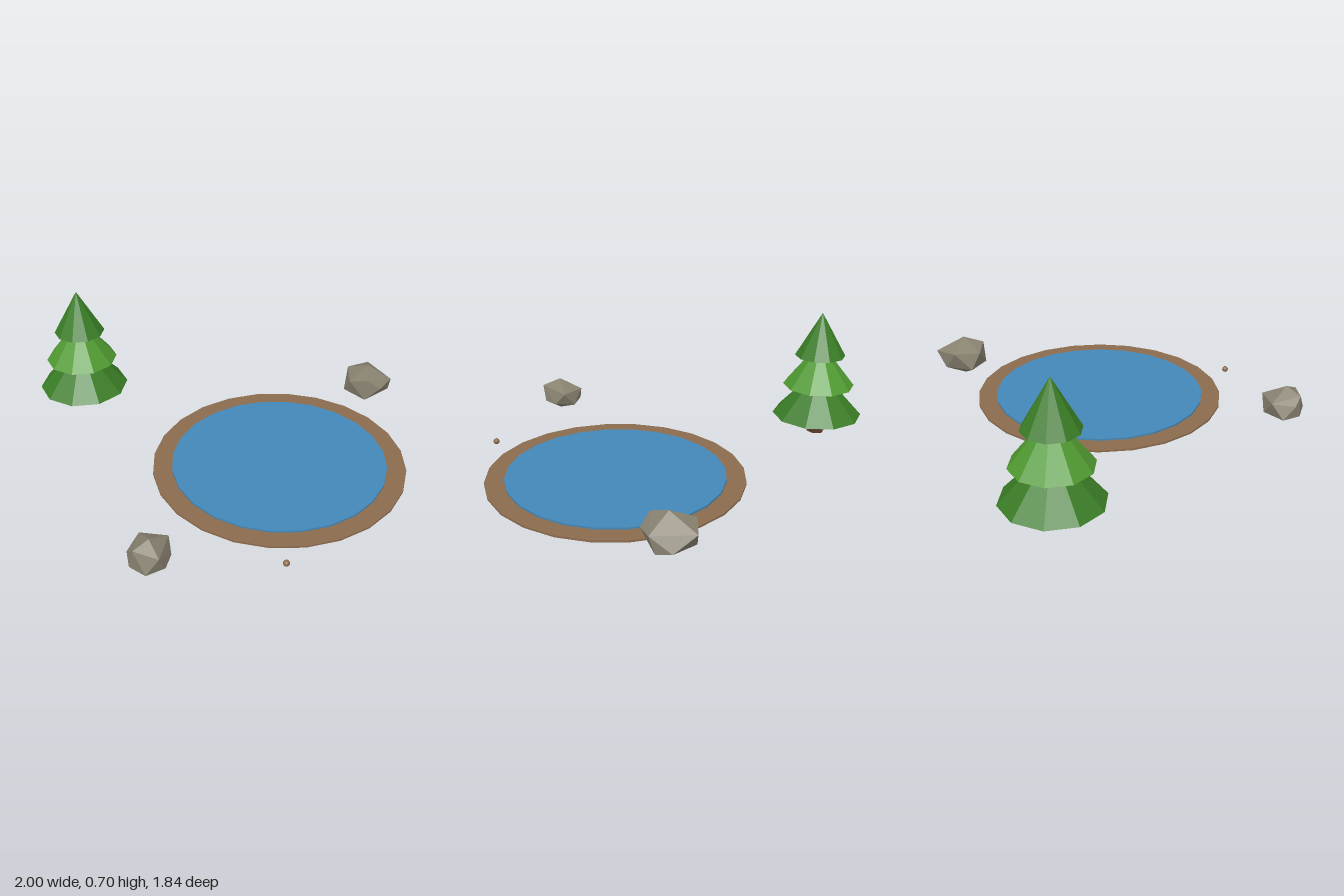
import * as THREE from 'three';
import { ConvexGeometry } from 'three/addons/geometries/ConvexGeometry.js';

const paint = (name, color) => {
  const m = new THREE.MeshStandardMaterial({ color, flatShading: true });
  m.name = name;
  return m;
};

export function createModel() {
  const model = new THREE.Group();
  model.name = 'pondScene';

  const darkGreen = paint('dark green', 0x3a7d26);
  const lightGreen = paint('light green', 0x509a31);
  const bark = paint('bark brown', 0x5a3b29);
  const earth = paint('earth brown', 0x8b6b4e);
  const water = paint('water blue', 0x4488b8);
  const stone = paint('stone grey', 0x87816f);

  const add = (parent, name, geometry, material, x = 0, y = 0, z = 0) => {
    const mesh = new THREE.Mesh(geometry, material);
    mesh.name = name;
    mesh.position.set(x, y, z);
    parent.add(mesh);
    return mesh;
  };

  // Pond: an earth disc with a smaller water disc on top
  const pond = new THREE.Group();
  pond.name = 'pond';
  pond.position.set(0.248, 0, 0.108);
  add(pond, 'shore', new THREE.CylinderGeometry(0.672, 0.672, 0.01, 24), earth, 0, 0.01, 0);
  add(pond, 'waterSurface', new THREE.CylinderGeometry(0.571, 0.571, 0.01, 24), water, 0, 0.02, 0);
  model.add(pond);

  // Conifer: six-sided trunk and three ten-sided cones, corners along x
  const tree = new THREE.Group();
  tree.name = 'tree';
  tree.position.set(-0.752, 0, -0.692);
  tree.rotation.y = Math.PI / 2;
  add(tree, 'trunk', new THREE.CylinderGeometry(0.05, 0.05, 0.14, 6), bark, 0, 0.07, 0);
  const tiers = [
    ['lowerBranches', 0.248, 0.107, 0.27, darkGreen],
    ['middleBranches', 0.197, 0.283, 0.25, lightGreen],
    ['upperBranches', 0.139, 0.456, 0.244, darkGreen],
  ];
  for (const [name, radius, base, height, material] of tiers) {
    add(tree, name, new THREE.ConeGeometry(radius, height, 10), material, 0, base + height / 2, 0);
  }
  model.add(tree);

  // Boulders: convex hulls of a few corner points
  const boulder = (name, points) =>
    add(model, name, new ConvexGeometry(points.map((p) => new THREE.Vector3(...p))), stone);
  boulder('largeBoulder', [
    [0.875, 0.235, -0.436], [0.875, 0.012, -0.436],
    [0.74, 0.078, -0.448], [0.78, 0.176, -0.533], [0.85, 0.08, -0.56],
    [0.915, 0.165, -0.587], [0.99, 0.09, -0.5], [0.997, 0.16, -0.39],
    [0.995, 0.075, -0.42], [0.915, 0.145, -0.315], [0.83, 0.075, -0.322],
    [0.84, 0.195, -0.33], [0.755, 0.165, -0.39],
  ]);
  boulder('smallBoulder', [
    [-0.497, 0.19, 0.817], [-0.497, 0.006, 0.817],
    [-0.6, 0.115, 0.8], [-0.59, 0.05, 0.73], [-0.535, 0.13, 0.695],
    [-0.46, 0.05, 0.705], [-0.4, 0.13, 0.737], [-0.395, 0.064, 0.795],
    [-0.46, 0.145, 0.912], [-0.525, 0.06, 0.917], [-0.575, 0.155, 0.85],
    [-0.595, 0.05, 0.835], [-0.43, 0.06, 0.88],
  ]);

  // Small brown pebble by the shore
  add(model, 'pebble', new THREE.IcosahedronGeometry(0.017, 1), earth, 0.13, 0.023, 0.89);

  return model;
}
